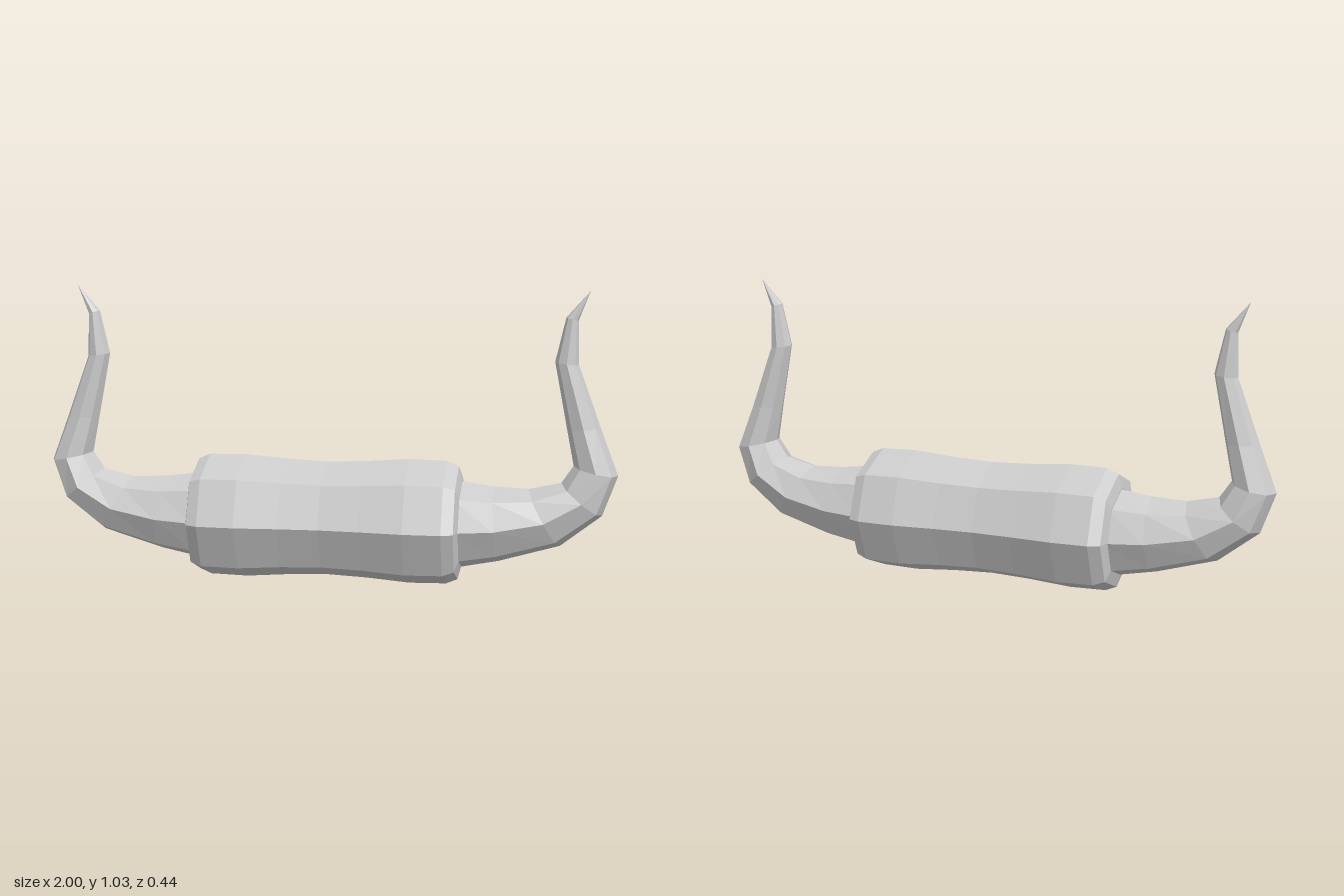
import * as THREE from 'three';

const SIDES = 8;
const material = new THREE.MeshStandardMaterial({ color: 0xcccccc, flatShading: true });

// Horn sections: outer x, y, inner x, y, half width in z
const HORN = [
  [0.45, 0.063, 0.45, 0.372, 0.157],
  [0.60, 0.093, 0.58, 0.355, 0.143],
  [0.81, 0.155, 0.70, 0.35, 0.122],
  [0.95, 0.265, 0.81, 0.375, 0.10],
  [1.00, 0.405, 0.85, 0.435, 0.08],
  [0.937, 0.57, 0.825, 0.56, 0.057],
  [0.86, 0.78, 0.78, 0.79, 0.037],
  [0.855, 0.93, 0.814, 0.94, 0.022],
  [0.893, 1.03, 0.893, 1.03, 0],
];

// Skins the elliptical horn sections into one tapering tube
function hornGeometry() {
  const positions = [];
  const index = [];
  HORN.forEach(([ox, oy, ix, iy, w], i) => {
    for (let j = 0; j < SIDES; j++) {
      const a = (j / SIDES) * Math.PI * 2;
      const t = (1 + Math.cos(a)) / 2;
      positions.push(ix + (ox - ix) * t, iy + (oy - iy) * t, -Math.sin(a) * w);
      if (i === HORN.length - 1) continue;
      const p = i * SIDES + j;
      const q = i * SIDES + ((j + 1) % SIDES);
      index.push(p, q, q + SIDES);
      if (i < HORN.length - 2) index.push(p, q + SIDES, p + SIDES);
    }
  });
  const geometry = new THREE.BufferGeometry();
  geometry.setAttribute('position', new THREE.Float32BufferAttribute(positions, 3));
  geometry.setIndex(index);
  geometry.computeVertexNormals();
  return geometry;
}

export function createModel() {
  const model = new THREE.Group();
  model.name = 'hornedBand';

  // Central octagonal band, slightly waisted, with bevelled ends
  const half = [[0, 0.202], [0.14, 0.208], [0.29, 0.22], [0.42, 0.217], [0.46, 0.2], [0.472, 0.155], [0.472, 0.13]];
  const profile = [...half.slice(1).reverse().map(([x, r]) => [-x, r]), ...half]
    .map(([x, r]) => new THREE.Vector2(r, x));
  const band = new THREE.Mesh(new THREE.LatheGeometry(profile, SIDES), material);
  band.name = 'centreBand';
  band.rotation.z = -Math.PI / 2;
  band.position.y = 0.222;
  model.add(band);

  // Horns: symmetric in z, so a half turn gives the opposite side
  const geometry = hornGeometry();
  for (const [name, turn] of [['leftHorn', 0], ['rightHorn', Math.PI]]) {
    const horn = new THREE.Mesh(geometry, material);
    horn.name = name;
    horn.rotation.y = turn;
    model.add(horn);
  }
  return model;
}
